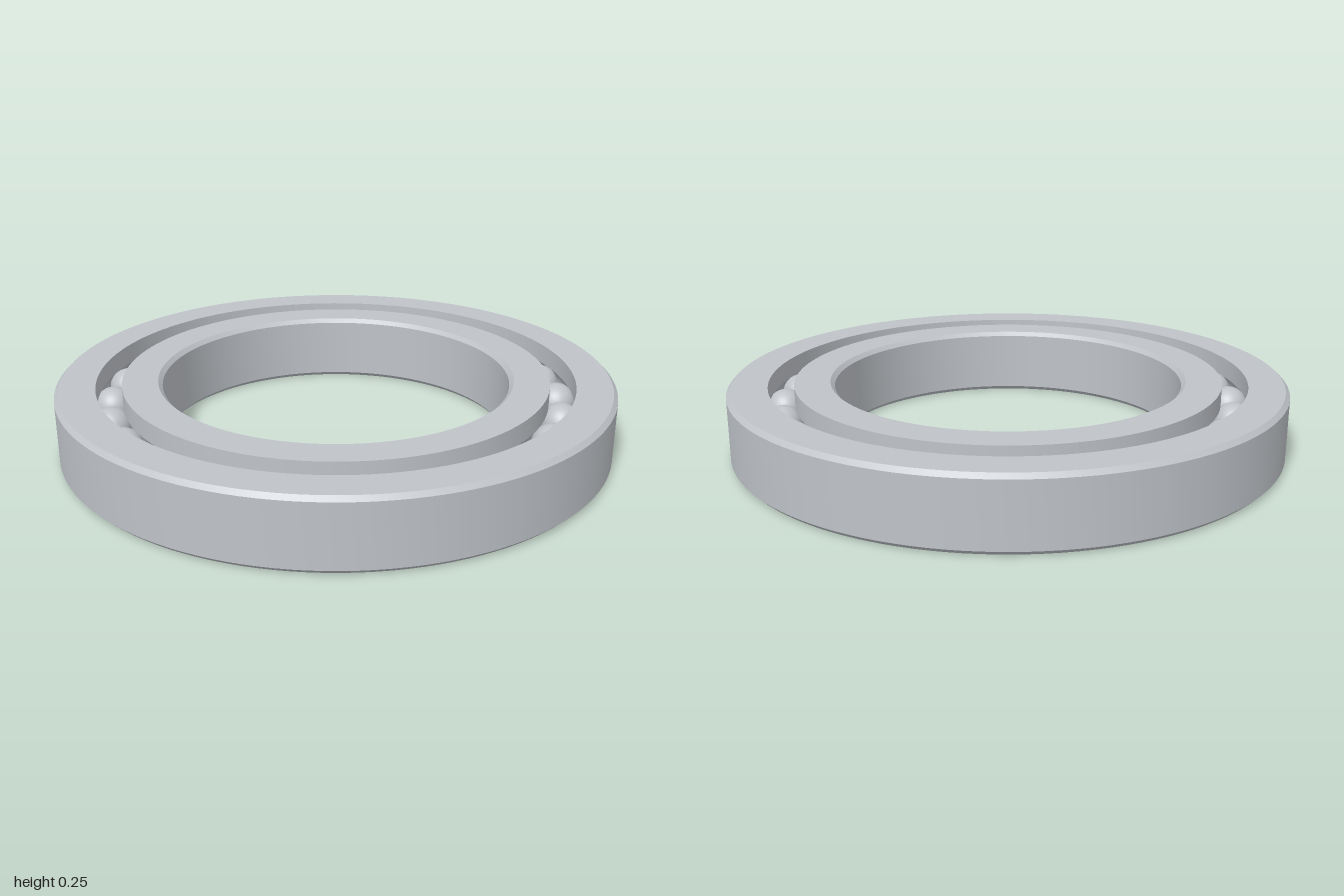
import * as THREE from 'three';
import { toCreasedNormals } from 'three/addons/utils/BufferGeometryUtils.js';

const HEIGHT = 0.25, MID = HEIGHT / 2;
const BORE = 0.625, OUTER = 1, CHAMFER = 0.015;
const PITCH = 0.8125, BALL_R = 0.07, BALLS = 26;
const INNER_LAND = 0.767, OUTER_LAND = 0.858;

// Groove arc around the ball centre, from angle a to angle b
function groove(a, b, steps = 12) {
  return Array.from({ length: steps + 1 }, (_, i) => {
    const t = a + (b - a) * i / steps;
    return [PITCH + BALL_R * Math.cos(t), MID + BALL_R * Math.sin(t)];
  });
}

// Closed counterclockwise (radius, height) profile revolved about y
function ring(name, profile, material) {
  const points = [...profile, profile[0]].map(([r, y]) => new THREE.Vector2(r, y));
  const geometry = toCreasedNormals(new THREE.LatheGeometry(points, 128), Math.PI / 6);
  const mesh = new THREE.Mesh(geometry, material);
  mesh.name = name;
  return mesh;
}

export function createModel() {
  const group = new THREE.Group();
  group.name = 'ballBearing';
  const steel = new THREE.MeshStandardMaterial({ color: 0xbfc3c8 });
  steel.name = 'steel grey';

  // Inner race: chamfered bore, groove on its outside
  const innerHalf = Math.acos((PITCH - INNER_LAND) / BALL_R);
  group.add(ring('innerRace', [
    [BORE + CHAMFER, 0], [INNER_LAND, 0],
    ...groove(Math.PI + innerHalf, Math.PI - innerHalf),
    [INNER_LAND, HEIGHT], [BORE + CHAMFER, HEIGHT],
    [BORE, HEIGHT - CHAMFER], [BORE, CHAMFER],
  ], steel));

  // Outer race: chamfered rim, groove on its inside
  const outerHalf = Math.acos((OUTER_LAND - PITCH) / BALL_R);
  group.add(ring('outerRace', [
    [OUTER_LAND, 0], [OUTER - CHAMFER, 0], [OUTER, CHAMFER],
    [OUTER, HEIGHT - CHAMFER], [OUTER - CHAMFER, HEIGHT], [OUTER_LAND, HEIGHT],
    ...groove(outerHalf, -outerHalf),
  ], steel));

  // Balls spaced evenly along the groove
  const balls = new THREE.Group();
  balls.name = 'balls';
  const ballGeometry = new THREE.SphereGeometry(BALL_R, 32, 20);
  for (let i = 0; i < BALLS; i++) {
    const a = i / BALLS * Math.PI * 2;
    const ball = new THREE.Mesh(ballGeometry, steel);
    ball.name = 'ball';
    ball.position.set(PITCH * Math.cos(a), MID, PITCH * Math.sin(a));
    balls.add(ball);
  }
  group.add(balls);
  return group;
}
